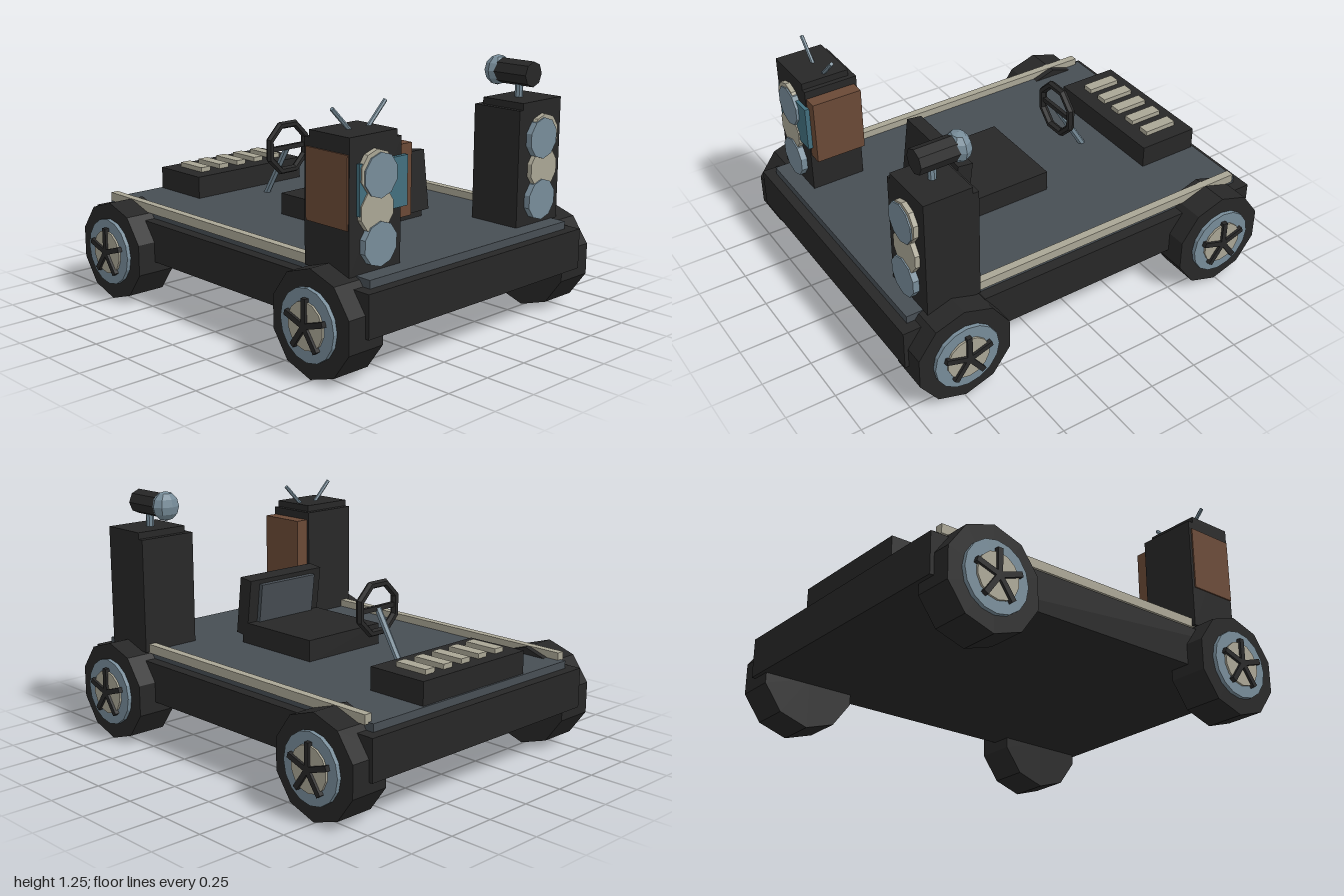
import * as THREE from 'three';

const mat = (name, color) => {
  const m = new THREE.MeshStandardMaterial({ color, flatShading: true });
  m.name = name;
  return m;
};

export function createModel() {
  const black = mat('black', 0x272727);
  const deckGrey = mat('deck grey', 0x474e54);
  const steel = mat('steel blue', 0x778c99);
  const cream = mat('cream', 0xaaa695);
  const teal = mat('teal', 0x426f7e);
  const brown = mat('brown', 0x6a4936);

  const model = new THREE.Group();
  const add = (name, geo, m, parent = model) => {
    const mesh = new THREE.Mesh(geo, m);
    mesh.name = name;
    parent.add(mesh);
    return mesh;
  };
  // Box given by its limits on each axis
  const box = (name, m, [x0, x1], [y0, y1], [z0, z1], parent) => {
    const b = add(name, new THREE.BoxGeometry(x1 - x0, y1 - y0, z1 - z0), m, parent);
    b.position.set((x0 + x1) / 2, (y0 + y1) / 2, (z0 + z1) / 2);
    return b;
  };
  // Straight rod between two points
  const rod = (name, m, a, b, r, sides = 6) => {
    const p = new THREE.Vector3(...a), q = new THREE.Vector3(...b);
    const c = add(name, new THREE.CylinderGeometry(r, r, p.distanceTo(q), sides), m);
    c.position.copy(p).add(q).multiplyScalar(0.5);
    c.quaternion.setFromUnitVectors(new THREE.Vector3(0, 1, 0), q.sub(p).normalize());
    return c;
  };
  // Disc along x, with a corner at the top
  const discX = (r, x0, x1, sides) =>
    new THREE.CylinderGeometry(r, r, x1 - x0, sides, 1, false, Math.PI / 2)
      .rotateZ(Math.PI / 2).translate((x0 + x1) / 2, 0, 0);

  // Chassis and deck
  box('chassis', black, [-0.725, 0.725], [0.225, 0.425], [-1, 1]);
  box('deck', deckGrey, [-0.67, 0.67], [0.42, 0.463], [-0.95, 0.95]);

  // Wheels with rim, hubcap and five spokes
  for (const side of [1, -1]) {
    for (const z of [0.742, -0.742]) {
      const wheel = new THREE.Group();
      wheel.name = 'wheel';
      wheel.position.set(0, 0.25, z);
      wheel.rotation.y = side > 0 ? 0 : Math.PI;
      model.add(wheel);
      add('tyre', discX(0.25, 0.62, 0.82, 10), black, wheel);
      add('rim', discX(0.168, 0.8, 0.84, 16), steel, wheel);
      add('hubcap', discX(0.11, 0.82, 0.85, 14), cream, wheel);
      for (let i = 0; i < 5; i++) {
        const spoke = new THREE.BoxGeometry(0.025, 0.125, 0.026);
        spoke.translate(0.85, 0.0625, 0).rotateX(i * Math.PI * 0.4);
        add('spoke', spoke, black, wheel);
      }
    }
    // Side rail
    box('sideRail', cream, side > 0 ? [0.65, 0.69] : [-0.69, -0.65], [0.455, 0.5], [-0.92, 0.62]);
  }

  // Light towers
  for (const side of [1, -1]) {
    const span = (a, b) => (side > 0 ? [a, b] : [-b, -a]);
    box('tower', black, span(0.4, 0.71), [0.46, 1.03], [0.59, 0.865]);
    box('towerCap', black, span(0.425, 0.71), [1.03, 1.063], [0.62, 0.865]);
    const lamps = [[0.566, 0.9, cream, 0.889], [0.566, 0.735, cream, 0.889],
      [0.55, 0.885, steel, 0.896], [0.55, 0.585, steel, 0.896]];
    for (const [x, y, m, front] of lamps) {
      const depth = front - 0.86;
      const lamp = add('lamp', new THREE.CylinderGeometry(0.1, 0.1, depth, 10).rotateX(Math.PI / 2), m);
      lamp.position.set(side * x, y, 0.86 + depth / 2);
    }
  }

  // Television built into the right tower
  box('televisionCabinet', brown, [-0.717, -0.33], [0.665, 0.99], [0.605, 0.86]);
  box('televisionScreen', teal, [-0.668, -0.378], [0.722, 0.947], [0.855, 0.883]);
  rod('antenna', steel, [-0.57, 1.05, 0.73], [-0.682, 1.162, 0.73], 0.01);
  rod('antenna', steel, [-0.475, 1.05, 0.73], [-0.363, 1.162, 0.73], 0.01);

  // Spotlight on the left tower
  rod('spotlightPost', steel, [0.557, 1.05, 0.73], [0.557, 1.14, 0.73], 0.02, 8);
  rod('spotlightBody', black, [0.557, 1.18, 0.6], [0.557, 1.18, 0.815], 0.062, 8);
  const lens = add('spotlightLens', new THREE.SphereGeometry(0.074, 8, 6), steel);
  lens.position.set(0.557, 1.18, 0.597);
  lens.scale.z = 0.78;

  // Seat
  box('seatCushion', black, [-0.24, 0.24], [0.46, 0.57], [-0.1, 0.4]);
  const back = new THREE.Group();
  back.name = 'seatBack';
  back.position.set(0, 0.65, 0.388);
  back.rotation.x = -0.125;
  model.add(back);
  box('backrest', black, [-0.24, 0.24], [-0.148, 0.148], [-0.04, 0.04], back);
  box('backrestPad', deckGrey, [-0.18, 0.18], [-0.09, 0.125], [-0.062, -0.035], back);

  // Steering wheel and column
  rod('steeringColumn', steel, [0, 0.45, -0.495], [0, 0.73, -0.325], 0.017);
  const ring = new THREE.TorusGeometry(0.128, 0.02, 6, 8).rotateZ(Math.PI / 8);
  add('steeringWheel', ring, black).position.set(0, 0.732, -0.322);
  box('steeringCrossbar', black, [-0.12, 0.12], [0.72, 0.744], [-0.332, -0.312]);

  // Control console with five keys
  box('console', black, [-0.35, 0.35], [0.46, 0.576], [-0.94, -0.62]);
  for (let i = -2; i <= 2; i++) {
    const x = i * 0.12;
    box('consoleKey', cream, [x - 0.03, x + 0.03], [0.57, 0.6], [-0.88, -0.7]);
  }

  return model;
}
